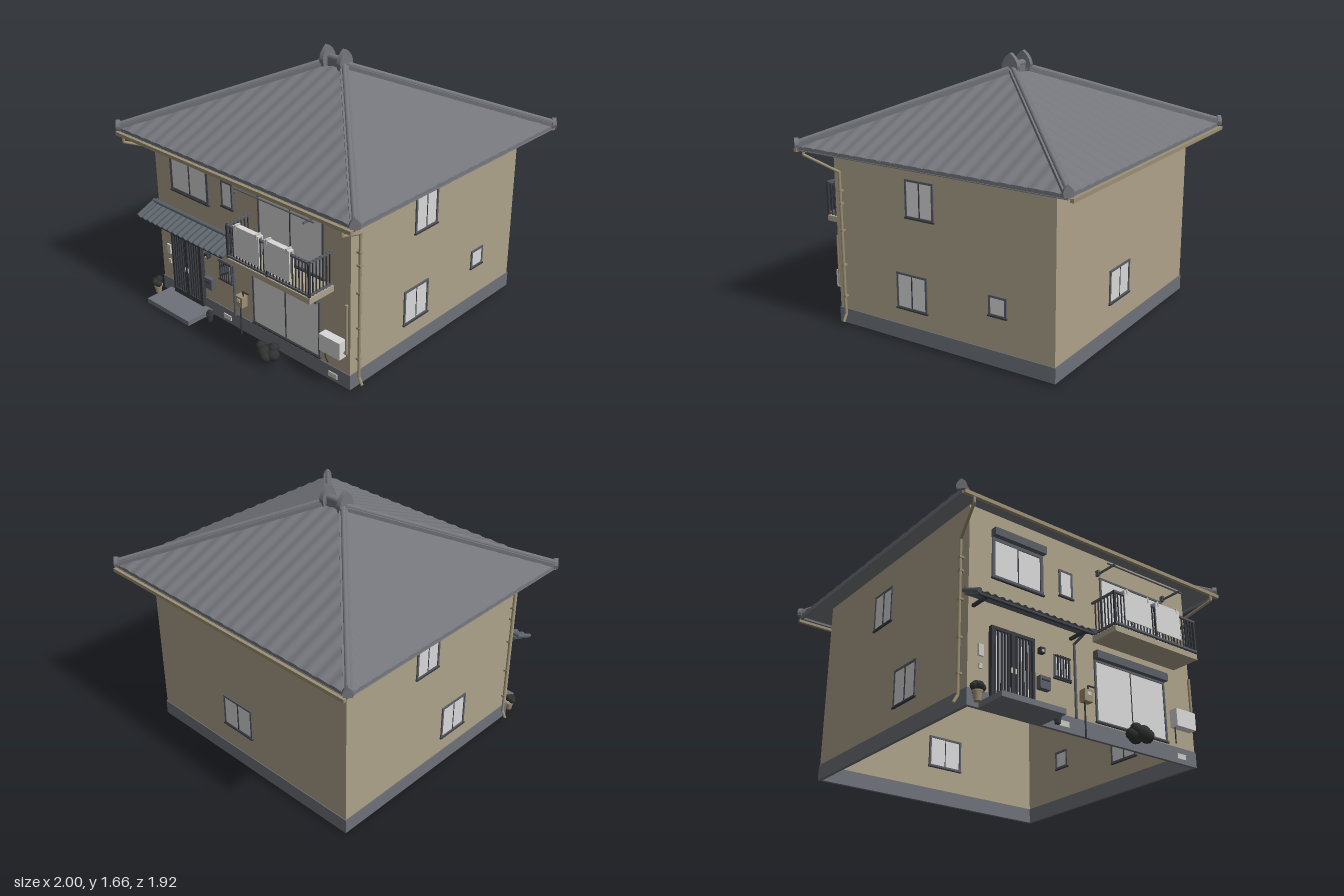
import * as THREE from 'three';

const mat = (name, color, side = THREE.FrontSide) => {
  const m = new THREE.MeshStandardMaterial({ color, side });
  m.name = name;
  return m;
};
const M = {
  wall: mat('tan plaster', 0xada28a),
  roof: mat('grey roof tile', 0x74767c, THREE.DoubleSide),
  base: mat('foundation grey', 0x6d7179),
  frame: mat('slate frame', 0x5a5e66),
  dark: mat('dark metal', 0x3a3c42),
  glass: mat('pale glass', 0xd8d8d8),
  gutter: mat('gutter tan', 0x9c9074),
  awning: mat('blue grey tile', 0x5c636a, THREE.DoubleSide),
  plant: mat('dark foliage', 0x303332),
  panel: mat('pale panel', 0xcac8c2),
};
const V = (x, y, z) => new THREE.Vector3(x, y, z);
const FRONT = 0.76, SIDE = 0.815, ZC = -0.015;

function add(parent, name, geo, material, x = 0, y = 0, z = 0) {
  const m = new THREE.Mesh(geo, material);
  m.name = name;
  m.position.set(x, y, z);
  parent.add(m);
  return m;
}
const box = (p, name, material, w, h, d, x, y, z) =>
  add(p, name, new THREE.BoxGeometry(w, h, d), material, x, y, z);
// box given by its limits
const span = (p, name, material, x0, x1, y0, y1, z0, z1) =>
  box(p, name, material, x1 - x0, y1 - y0, z1 - z0, (x0 + x1) / 2, (y0 + y1) / 2, (z0 + z1) / 2);
function group(parent, name, x = 0, y = 0, z = 0, ry = 0) {
  const g = new THREE.Group();
  g.name = name;
  g.position.set(x, y, z);
  g.rotation.y = ry;
  parent.add(g);
  return g;
}
// places a mesh made along z between two points of its parent
function between(m, a, b) {
  m.position.copy(a).lerp(b, 0.5);
  m.quaternion.setFromRotationMatrix(new THREE.Matrix4().lookAt(b, a, V(0, 1, 0)));
}
const beam = (p, name, material, a, b, w, h) =>
  between(box(p, name, material, w, h, a.distanceTo(b), 0, 0, 0), a, b);
// round pipe through a list of points
function pipe(p, name, material, pts, r) {
  for (let i = 1; i < pts.length; i++) {
    const a = pts[i - 1], b = pts[i];
    const geo = new THREE.CylinderGeometry(r, r, a.distanceTo(b), 10).rotateX(Math.PI / 2);
    between(add(p, name, geo, material), a, b);
    if (i > 1) add(p, name + 'Joint', new THREE.SphereGeometry(r, 10, 6), material, a.x, a.y, a.z);
  }
}
// hollow rectangular ring, open above and below
function ring(p, name, material, w, d, t, y0, y1, z) {
  const rect = (s, a, b) => s.moveTo(-a, -b).lineTo(a, -b).lineTo(a, b).lineTo(-a, b).closePath();
  const s = rect(new THREE.Shape(), w / 2, d / 2);
  s.holes.push(rect(new THREE.Path(), w / 2 - t, d / 2 - t));
  const geo = new THREE.ExtrudeGeometry(s, { depth: y1 - y0, bevelEnabled: false }).rotateX(-Math.PI / 2);
  add(p, name, geo, material, 0, y0, z);
}
// corrugated slope: eave along x at z = run, upper edge at z = 0, cut along the hips
function slope(half, topHalf, run, y0, y1, wave, amp) {
  const n = Math.round((2 * half) / wave) * 8, pos = [], idx = [];
  for (let i = 0; i <= n; i++) {
    const x = -half + (2 * half * i) / n;
    const t = half > topHalf ? Math.min(1, (half - Math.abs(x)) / (half - topHalf)) : 1;
    const bump = amp * Math.cos((i / 8) * Math.PI * 2);
    pos.push(x, y0 + bump, run, x, y0 + (y1 - y0) * t + bump, run * (1 - t));
    const a = i * 2;
    if (i < n) idx.push(a, a + 2, a + 3, a, a + 3, a + 1);
  }
  const g = new THREE.BufferGeometry();
  g.setAttribute('position', new THREE.Float32BufferAttribute(pos, 3));
  g.setIndex(idx);
  g.computeVertexNormals();
  return g;
}
// pointed end tile
function endTile(p, name, x, y, z, ry, w, h, t) {
  const s = new THREE.Shape();
  s.moveTo(-w * 0.42, 0).lineTo(w * 0.42, 0).lineTo(w / 2, h * 0.35);
  s.quadraticCurveTo(w * 0.42, h * 0.75, 0, h).quadraticCurveTo(-w * 0.42, h * 0.75, -w / 2, h * 0.35);
  const geo = new THREE.ExtrudeGeometry(s, { depth: t, bevelEnabled: false }).translate(0, 0, -t / 2);
  add(p, name, geo, M.roof, x, y, z).rotation.y = ry;
}
// framed window facing local +z
function windowUnit(parent, name, x, y, z, ry, w, h, panes = 2, shutter = 0, f = 0.013) {
  const g = group(parent, name, x, y, z, ry);
  for (const s of [-1, 1]) {
    box(g, 'frameSide', M.frame, f, h, 0.03, s * (w - f) / 2, 0, -0.007);
    box(g, 'frameRail', M.frame, w, f, 0.03, 0, s * (h - f) / 2, -0.007);
  }
  box(g, 'sill', M.dark, w + 0.01, 0.009, 0.034, 0, -h / 2, -0.005);
  for (let i = 0; i < panes; i++) {
    const pw = (w - 2 * f) / panes;
    box(g, 'pane', M.glass, pw, h - 2 * f, 0.02, (i - (panes - 1) / 2) * pw, 0, i ? -0.008 : -0.005);
  }
  if (panes > 1) box(g, 'meetingStile', M.dark, 0.006, h - 2 * f, 0.026, 0, 0, -0.006);
  if (shutter) box(g, 'shutterBox', M.frame, w + 0.004, shutter, 0.05, 0, h / 2 + shutter / 2, 0.015);
  return g;
}
const frontWindow = (p, name, x0, x1, y0, y1, panes, shutter, f) =>
  windowUnit(p, name, (x0 + x1) / 2, (y0 + y1) / 2, FRONT, 0, x1 - x0, y1 - y0, panes, shutter, f);
const sideWindow = (p, name, s, z0, z1, y0, y1, panes) =>
  windowUnit(p, name, s * SIDE, (y0 + y1) / 2, (z0 + z1) / 2, s * Math.PI / 2, z1 - z0, y1 - y0, panes);

function buildRoof(root) {
  const g = group(root, 'roof', 0, 0, ZC);
  const hx = 0.97, hz = 0.92, rx = 0.06, y0 = 1.147, y1 = 1.54;
  // tiles, and a plain sloping soffit below them
  for (const [name, drop, amp] of [['tiles', 0, 0.004], ['soffit', 0.024, 0]]) for (const s of [0, 1]) {
    const long = slope(hx, rx, hz, y0 - drop, y1 - drop, 0.097, amp);
    add(g, name + 'Long', long, M.roof).rotation.y = s * Math.PI;
    const short = slope(hz, 0, hx - rx, y0 - drop, y1 - drop, 0.097, amp);
    add(g, name + 'Short', short, M.roof, s ? rx : -rx).rotation.y = (s - 0.5) * Math.PI;
  }
  ring(g, 'eaveFascia', M.roof, 1.935, 1.835, 0.015, 1.117, 1.146, 0);
  // hip ridges and their end tiles
  for (const sx of [-1, 1]) for (const sz of [-1, 1]) {
    const a = V(sx * 0.96, 1.156, sz * 0.91), b = V(sx * 0.07, 1.548, sz * 0.01);
    beam(g, 'hipBase', M.roof, a, b, 0.052, 0.024);
    const up = V(0, 0.014, 0);
    pipe(g, 'hipCap', M.roof, [a.clone().add(up), b.clone().add(up)], 0.016);
    endTile(g, 'cornerTile', sx * 0.968, 1.135, sz * 0.918, sx * sz * Math.PI / 4, 0.06, 0.062, 0.025);
  }
  box(g, 'ridgeBase', M.roof, 0.14, 0.06, 0.04, 0, 1.55, 0);
  pipe(g, 'ridgeCap', M.roof, [V(-0.085, 1.58, 0), V(0.085, 1.58, 0)], 0.022);
  for (const s of [-1, 1]) endTile(g, 'ridgeEndTile', s * 0.07, 1.53, 0.005, Math.PI / 2, 0.115, 0.125, 0.03);
}

function buildGutters(root) {
  const g = group(root, 'gutters');
  for (const z of [0.923, -0.953]) box(g, 'gutter', M.gutter, 1.93, 0.022, 0.02, 0, 1.117, z);
  for (const s of [-1, 1]) {
    pipe(g, 'downpipe', M.gutter, [V(s * 0.9, 1.12, 0.922), V(s * 0.9, 1.075, 0.922), V(s * 0.832, 0.985, 0.705),
      V(s * 0.832, 0.08, 0.705), V(s * 0.857, 0.035, 0.705)], 0.009);
    for (const y of [0.2, 0.4, 0.62, 0.79, 0.87]) box(g, 'pipeClamp', M.gutter, 0.028, 0.012, 0.022, s * 0.828, y, 0.705);
  }
}

function buildBalcony(root) {
  const g = group(root, 'balcony'), x0 = 0.05, x1 = 0.688, z = 0.945;
  span(g, 'balconyFloor', M.wall, 0.043, 0.694, 0.603, 0.638, FRONT, 0.95);
  for (const y of [0.85, 0.655]) {
    box(g, 'frontRail', M.frame, x1 - x0 + 0.012, 0.012, 0.016, (x0 + x1) / 2, y, z);
    for (const x of [x0, x1]) span(g, 'sideRail', M.frame, x - 0.006, x + 0.006, y - 0.006, y + 0.006, FRONT, z);
  }
  const bar = (x, zz, t = 0.006) => box(g, 'railBar', M.dark, t, 0.215, t, x, 0.75, zz);
  for (let i = 0; i <= 26; i++) bar(x0 + ((x1 - x0) * i) / 26, z, i % 13 ? 0.006 : 0.013);
  for (const x of [x0, x1]) for (let i = 1; i < 7; i++) bar(x, FRONT + i * 0.026);
  // bedding aired over the rail
  for (const [a, b] of [[0.117, 0.322], [0.363, 0.557]]) {
    span(g, 'beddingFront', M.glass, a, b, 0.69, 0.875, 0.953, 0.959);
    span(g, 'beddingTop', M.glass, a, b, 0.868, 0.876, 0.925, 0.959);
    span(g, 'beddingBack', M.glass, a, b, 0.72, 0.875, 0.925, 0.933);
    for (const x of [a + 0.02, b - 0.02]) box(g, 'clip', M.panel, 0.012, 0.03, 0.038, x, 0.869, 0.942);
  }
  // drying pole
  for (const x of [0.095, 0.625]) {
    box(g, 'poleBracket', M.frame, 0.016, 0.035, 0.025, x, 1.058, 0.772);
    span(g, 'poleArm', M.frame, x - 0.005, x + 0.005, 1.047, 1.057, FRONT, 0.92);
  }
  pipe(g, 'dryingPole', M.frame, [V(0.065, 1.061, 0.89), V(0.673, 1.061, 0.89)], 0.005);
}

function buildEntrance(root) {
  const g = group(root, 'entrance');
  span(g, 'step', M.base, -0.747, -0.342, 0.015, 0.046, FRONT, 0.96);
  // sliding lattice door
  span(g, 'doorGlass', M.glass, -0.675, -0.408, 0.06, 0.478, 0.742, 0.772);
  for (const [a, b] of [[-0.683, -0.668], [-0.415, -0.4], [-0.553, -0.53]])
    span(g, 'doorStile', M.dark, a, b, 0.05, 0.484, 0.738, 0.788);
  for (const [a, b] of [[0.465, 0.484], [0.05, 0.085]]) span(g, 'doorRail', M.dark, -0.683, -0.4, a, b, 0.738, 0.787);
  for (const c of [-0.612, -0.471]) for (let i = -2; i <= 2; i++)
    box(g, 'doorSlat', M.dark, 0.01, 0.4, 0.012, c + i * 0.022, 0.27, 0.776);
  for (const x of [-0.555, -0.528]) box(g, 'doorPull', M.panel, 0.008, 0.03, 0.004, x, 0.26, 0.789);
  // tiled canopy
  const r = group(g, 'canopy', -0.455, 0, FRONT - 0.012);
  add(r, 'canopyTiles', slope(0.39, 0.39, 0.157, 0.584, 0.645, 0.049, 0.006), M.awning);
  pipe(r, 'canopyRidge', M.awning, [V(-0.395, 0.645, 0.026), V(0.395, 0.645, 0.026)], 0.013);
  for (const s of [-1, 1]) {
    pipe(r, 'canopyVerge', M.awning, [V(s * 0.39, 0.644, 0.015), V(s * 0.39, 0.584, 0.155)], 0.014);
    beam(r, 'canopyBrace', M.dark, V(s * 0.33, 0.573, 0.012), V(s * 0.33, 0.573, 0.14), 0.016, 0.016);
  }
  span(r, 'canopyFascia', M.dark, -0.385, 0.385, 0.565, 0.578, 0.135, 0.148);
  beam(r, 'canopyBoard', M.awning, V(0, 0.626, 0.012), V(0, 0.572, 0.148), 0.77, 0.008);
  pipe(g, 'canopyDownpipe', M.frame, [V(-0.11, 0.58, 0.88), V(-0.11, 0.54, 0.775), V(-0.11, 0.105, 0.775)], 0.008);
}

function buildFittings(root) {
  const g = group(root, 'wallFittings');
  span(g, 'intercom', M.panel, -0.753, -0.722, 0.3, 0.365, FRONT, 0.772);
  span(g, 'doorbell', M.panel, -0.748, -0.727, 0.23, 0.258, FRONT, 0.77);
  span(g, 'porchLamp', M.dark, -0.36, -0.33, 0.418, 0.452, FRONT, 0.79);
  span(g, 'porchLampLens', M.panel, -0.352, -0.338, 0.424, 0.436, 0.79, 0.794);
  span(g, 'mailbox', M.frame, -0.37, -0.3, 0.21, 0.283, FRONT, 0.795);
  span(g, 'mailSlot', M.dark, -0.36, -0.31, 0.256, 0.264, 0.795, 0.799);
  span(g, 'gasMeter', M.gutter, -0.07, -0.012, 0.21, 0.28, FRONT, 0.805);
  span(g, 'meterDial', M.panel, -0.055, -0.028, 0.245, 0.265, 0.805, 0.809);
  pipe(g, 'gasPipe', M.dark, [V(-0.053, 0.21, 0.782), V(-0.053, 0, 0.782)], 0.005);
  pipe(g, 'gasFeed', M.dark, [V(-0.025, 0.28, 0.782), V(-0.025, 0.312, 0.782), V(0.025, 0.312, 0.782)], 0.005);
  span(g, 'waterHeater', M.glass, 0.63, 0.785, 0.222, 0.33, FRONT, 0.815);
  pipe(g, 'heaterPipe', M.dark, [V(0.645, 0.222, 0.78), V(0.645, 0.17, 0.78), V(0.655, 0.13, 0.77)], 0.004);
  pipe(g, 'conduit', M.gutter, [V(0.77, 0.255, 0.775), V(0.8, 0.255, 0.775), V(0.8, 0.565, 0.775)], 0.009);
  for (const x of [-0.193, 0.693]) span(g, 'vent', M.panel, x - 0.033, x + 0.033, 0.04, 0.072, 0.764, 0.772);
}

function buildPlants(root) {
  const g = group(root, 'plants');
  const clump = (x, y, z, r) => add(g, 'foliage', new THREE.IcosahedronGeometry(r, 1), M.plant, x, y, z);
  const pot = (material, x, z, r, h) => {
    add(g, 'pot', new THREE.CylinderGeometry(r, r * 0.7, h, 14), material, x, 0.016 + h / 2, z);
    add(g, 'potRim', new THREE.CylinderGeometry(r * 1.15, r * 1.15, 0.01, 14), material, x, 0.016 + h, z);
  };
  pot(M.gutter, -0.8, 0.83, 0.026, 0.05);
  for (const [dx, dy, dz] of [[-0.02, 0.092, 0], [0.018, 0.088, 0.01], [0, 0.108, -0.01], [0, 0.094, 0.02]])
    clump(-0.8 + dx, dy, 0.83 + dz, 0.023);
  pot(M.dark, -0.29, 0.83, 0.022, 0.05);
  clump(-0.29, 0.074, 0.83, 0.019);
  for (const [x, y, z, r] of [[0.215, 0.065, 0.86, 0.038], [0.265, 0.072, 0.89, 0.045], [0.315, 0.066, 0.87, 0.04],
    [0.225, 0.092, 0.88, 0.034], [0.3, 0.095, 0.85, 0.035], [0.26, 0.06, 0.84, 0.04], [0.29, 0.058, 0.905, 0.035]])
    clump(x, y, z, r);
}

export function createModel() {
  const root = new THREE.Group();
  root.name = 'house';
  ring(root, 'foundation', M.base, 1.64, 1.55, 0.02, 0.015, 0.11, -0.01);
  ring(root, 'walls', M.wall, SIDE * 2, 1.54, 0.01, 0.11, 1.18, -0.01);
  buildRoof(root);
  buildGutters(root);
  // front windows
  frontWindow(root, 'upperWindow', -0.667, -0.315, 0.778, 1.03, 2, 0.047, 0.02);
  frontWindow(root, 'narrowWindow', -0.199, -0.1, 0.82, 0.99, 1);
  frontWindow(root, 'balconyDoor', 0.112, 0.625, 0.645, 1.04, 2);
  frontWindow(root, 'gardenDoor', 0.043, 0.593, 0.122, 0.495, 2, 0.048);
  const lattice = frontWindow(root, 'latticeWindow', -0.25, -0.137, 0.307, 0.445, 1);
  for (let i = -2; i <= 2; i++) box(lattice, 'latticeBar', M.dark, 0.006, 0.135, 0.008, i * 0.019, 0, 0.016);
  for (const y of [-0.062, 0.062]) box(lattice, 'latticeRail', M.dark, 0.11, 0.006, 0.008, 0, y, 0.014);
  // side and back windows
  sideWindow(root, 'leftUpperWindow', 1, 0.02, 0.222, 0.785, 1.015, 2);
  sideWindow(root, 'leftLowerWindow', 1, 0.08, 0.302, 0.215, 0.44, 2);
  sideWindow(root, 'leftSmallWindow', 1, -0.47, -0.35, 0.318, 0.44, 1);
  sideWindow(root, 'rightUpperWindow', -1, -0.206, -0.008, 0.785, 1.015, 2);
  sideWindow(root, 'rightLowerWindow', -1, 0.06, 0.285, 0.215, 0.44, 2);
  windowUnit(root, 'backWindow', 0.082, 0.365, -0.78, Math.PI, 0.25, 0.21, 2);
  buildBalcony(root);
  buildEntrance(root);
  buildFittings(root);
  buildPlants(root);
  return root;
}
